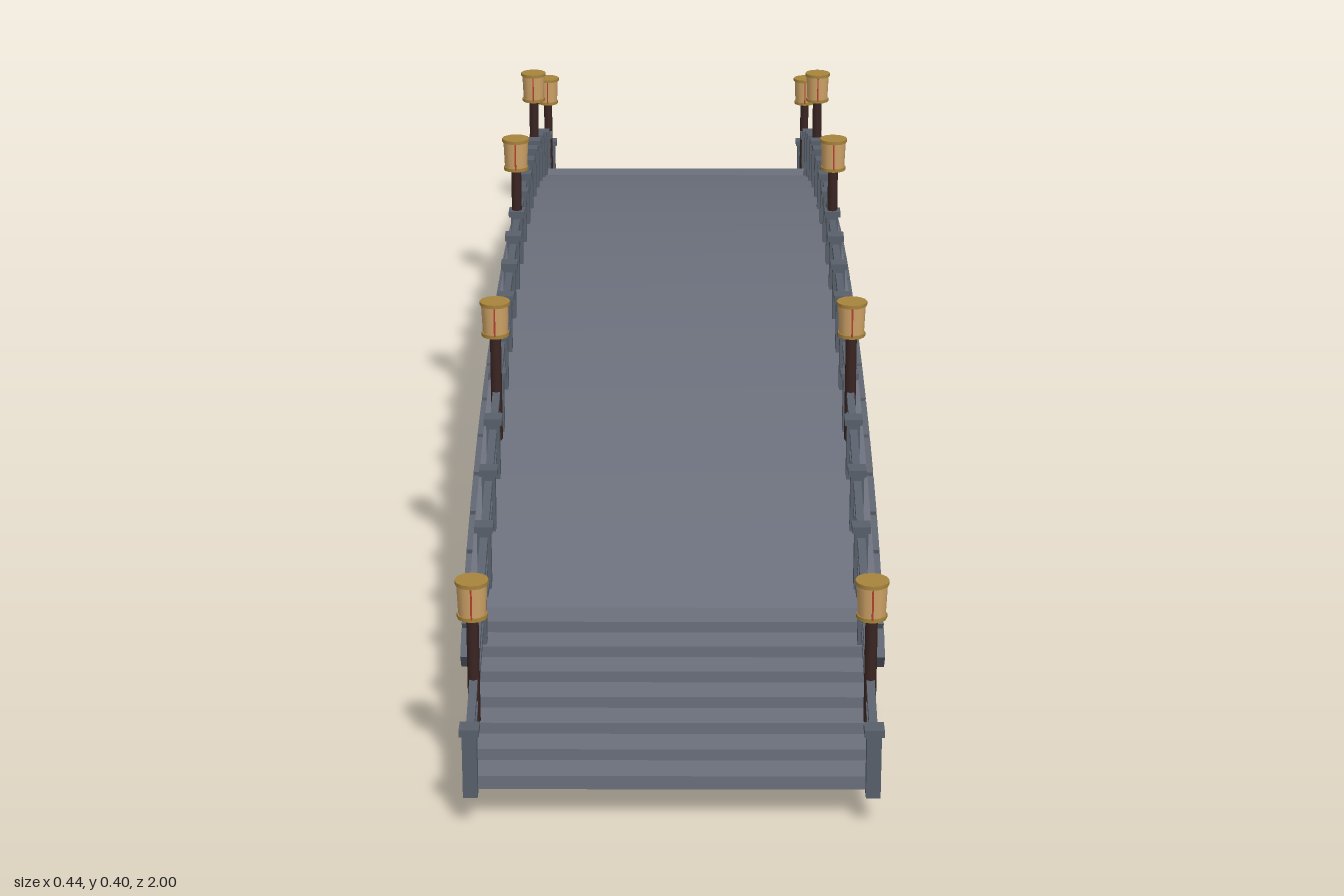
import * as THREE from 'three';
import { toCreasedNormals } from 'three/addons/utils/BufferGeometryUtils.js';

const mat = (name, color) => Object.assign(new THREE.MeshStandardMaterial({ color }), { name });

const HALF = 0.754;      // half span of the arch
const RISE = 0.187;      // inner rise of the arch
const RAIL_X = 0.192;

// Walking surface: curved deck, then straight stairs
function deckY(z) {
  const a = Math.abs(z);
  if (a <= HALF) return 0.237 - 0.118 * (a / HALF) ** 2;
  return 0.119 - (a - HALF) * 0.35;
}

export function createModel() {
  const stone = mat('stone', 0x6b707c);
  const trimStone = mat('trim stone', 0x5f6570);
  const railStone = mat('rail stone', 0x59606b);
  const wood = mat('dark wood', 0x3a2522);
  const paper = mat('lantern paper', 0xd0a468);
  const gold = mat('lantern gold', 0xa8843c);
  const red = mat('lantern red', 0xb04030);

  const model = new THREE.Group();
  model.name = 'archBridge';

  const add = (parent, name, geo, material, x = 0, y = 0, z = 0) => {
    const m = new THREE.Mesh(geo, material);
    m.name = name;
    m.position.set(x, y, z);
    parent.add(m);
    return m;
  };
  const group = (name) => {
    const g = new THREE.Group();
    g.name = name;
    model.add(g);
    return g;
  };
  // Box laid between two points in the zy plane
  const beam = (parent, name, material, x, z0, y0, z1, y1, w, h, scale = 1) => {
    const len = Math.hypot(z1 - z0, y1 - y0) * scale;
    const m = add(parent, name, new THREE.BoxGeometry(w, h, len), material, x, (y0 + y1) / 2, (z0 + z1) / 2);
    m.rotation.x = -Math.atan2(y1 - y0, z1 - z0);
    return m;
  };

  // Arch body: curved deck above, elliptical vault below
  const shape = new THREE.Shape();
  const n = 48;
  shape.moveTo(-HALF, 0);
  for (let i = 1; i <= n; i++) {
    const t = Math.PI * (1 - i / n);
    shape.lineTo(HALF * Math.cos(t), RISE * Math.sin(t));
  }
  for (let i = 0; i <= n; i++) {
    const z = HALF * (1 - (2 * i) / n);
    shape.lineTo(z, deckY(z));
  }
  const body = new THREE.ExtrudeGeometry(shape, { depth: 0.416, bevelEnabled: false });
  body.translate(0, 0, -0.208);
  body.rotateY(-Math.PI / 2);
  add(model, 'archBody', toCreasedNormals(body, 0.5), stone);

  // Ring of arch stones on both faces
  const ring = group('archStones');
  const stones = 21, start = 0.24;
  for (const side of [-1, 1]) {
    for (let i = 0; i < stones; i++) {
      const t0 = start + ((Math.PI - 2 * start) * i) / stones;
      const t1 = start + ((Math.PI - 2 * start) * (i + 1)) / stones;
      beam(ring, 'archStone', trimStone, side * 0.209,
        -HALF * Math.cos(t0), RISE * Math.sin(t0) + 0.002,
        -HALF * Math.cos(t1), RISE * Math.sin(t1) + 0.002, 0.018, 0.022, 0.92);
    }
  }

  // Stairs at both ends
  const stairs = group('stairs');
  const stepGeo = new THREE.BoxGeometry(0.394, 0.014, 0.042);
  for (const end of [-1, 1]) {
    for (let i = 0; i < 7; i++) {
      add(stairs, 'step', stepGeo, stone, 0, 0.112 - i * 0.0117, end * (0.767 + i * 0.0329));
    }
  }

  // Railings: posts with caps, two rails between them
  const railings = group('railings');
  const postZ = [-0.99];
  for (let i = -9; i <= 9; i++) postZ.push(i * 0.09);
  postZ.push(0.99);
  const postGeo = new THREE.BoxGeometry(0.014, 0.07, 0.014);
  const capGeo = new THREE.BoxGeometry(0.019, 0.007, 0.019);
  for (const side of [-1, 1]) {
    const x = side * RAIL_X;
    postZ.forEach((z, i) => {
      const y = deckY(z);
      add(railings, 'post', postGeo, railStone, x, y + 0.03, z);
      add(railings, 'postCap', capGeo, railStone, x, y + 0.064, z);
      if (i === 0) return;
      const p = postZ[i - 1];
      for (const h of [0.03, 0.053]) {
        beam(railings, 'rail', railStone, x, p, deckY(p) + h, z, y + h, 0.008, 0.008);
      }
    });
  }

  // Lanterns on wooden poles
  const bodyGeo = new THREE.CylinderGeometry(0.015, 0.0135, 0.034, 12);
  const topGeo = new THREE.CylinderGeometry(0.0165, 0.0165, 0.004, 12);
  const baseGeo = new THREE.CylinderGeometry(0.015, 0.015, 0.004, 12);
  const stripGeo = new THREE.BoxGeometry(0.0018, 0.032, 0.001);
  for (const side of [-1, 1]) {
    for (const [z, top] of [[-0.915, 0.222], [-0.47, 0.35], [0, 0.395], [0.47, 0.35], [0.915, 0.222]]) {
      const lantern = group('lantern');
      lantern.position.set(side * RAIL_X, 0, z);
      const bottom = deckY(z) - 0.01;
      const h = top - 0.038 - bottom;
      add(lantern, 'pole', new THREE.CylinderGeometry(0.006, 0.006, h, 8), wood, 0, bottom + h / 2, 0);
      add(lantern, 'lanternBody', bodyGeo, paper, 0, top - 0.02, 0);
      add(lantern, 'lanternTop', topGeo, gold, 0, top - 0.002, 0);
      add(lantern, 'lanternBase', baseGeo, gold, 0, top - 0.037, 0);
      for (const s of [-1, 1]) {
        add(lantern, 'lanternStripe', stripGeo, red, 0, top - 0.02, s * 0.0146);
      }
    }
  }
  return model;
}
